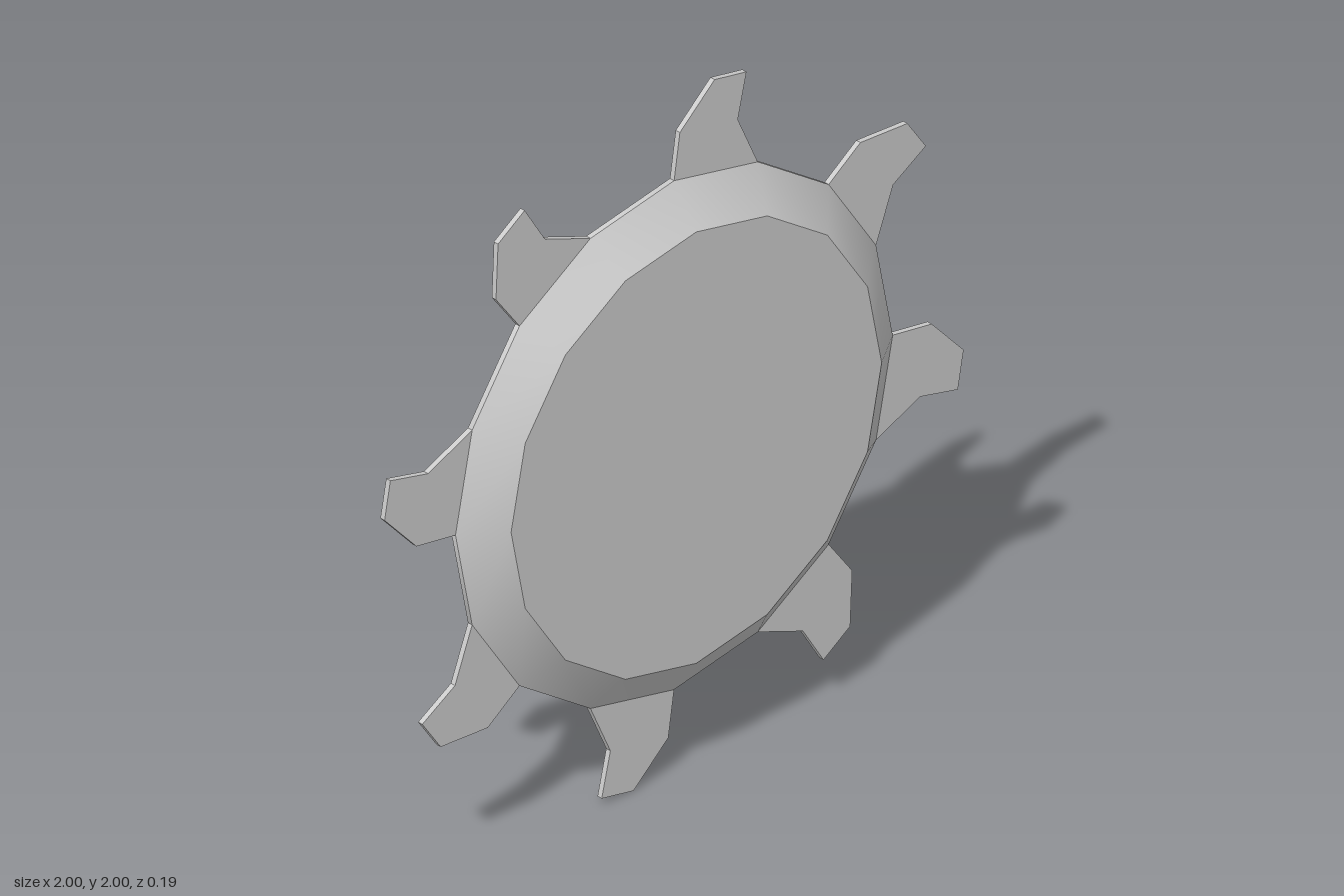
import * as THREE from 'three';
import { toCreasedNormals } from 'three/addons/utils/BufferGeometryUtils.js';

const SIDES = 16;      // facets of the disc
const RIM = 0.755;     // corner radius at the rim
const FACE = 0.64;     // corner radius of the flat faces
const HALF = 0.093;    // half thickness of the disc
const EDGE = 0.008;    // half thickness of rim and teeth

export function createModel() {
  const group = new THREE.Group();
  const material = new THREE.MeshStandardMaterial({ color: 0xcccccc });

  // Disc: bevelled on both sides, smooth around the bevel, sharp at the faces
  const profile = [[0, -HALF], [FACE, -HALF], [RIM, -EDGE], [RIM, EDGE], [FACE, HALF], [0, HALF]]
    .map(([r, y]) => new THREE.Vector2(r, y));
  const discGeometry = toCreasedNormals(
    new THREE.LatheGeometry(profile, SIDES).rotateX(Math.PI / 2), Math.PI / 7);
  const disc = new THREE.Mesh(discGeometry, material);
  disc.name = 'bevelledDisc';
  disc.position.y = 1;
  group.add(disc);

  // Teeth: a thin slanted tooth on every other edge of the rim
  const step = (2 * Math.PI) / SIDES;
  const outline = [
    [0, RIM], [0.02, 0.89], [0.14, 1], [0.25, 0.98], [0.22, 0.85],
    [RIM * Math.sin(step), RIM * Math.cos(step)],
  ].map(([x, y]) => new THREE.Vector2(x, y));
  const toothGeometry = new THREE.ExtrudeGeometry(new THREE.Shape(outline), {
    depth: EDGE * 2, bevelEnabled: false,
  }).translate(0, 0, -EDGE);
  const teeth = new THREE.Group();
  teeth.name = 'teeth';
  teeth.position.y = 1;
  for (let i = 0; i < SIDES / 2; i++) {
    const tooth = new THREE.Mesh(toothGeometry, material);
    tooth.name = 'tooth';
    tooth.rotation.z = -2 * step * i;
    teeth.add(tooth);
  }
  group.add(teeth);

  return group;
}
